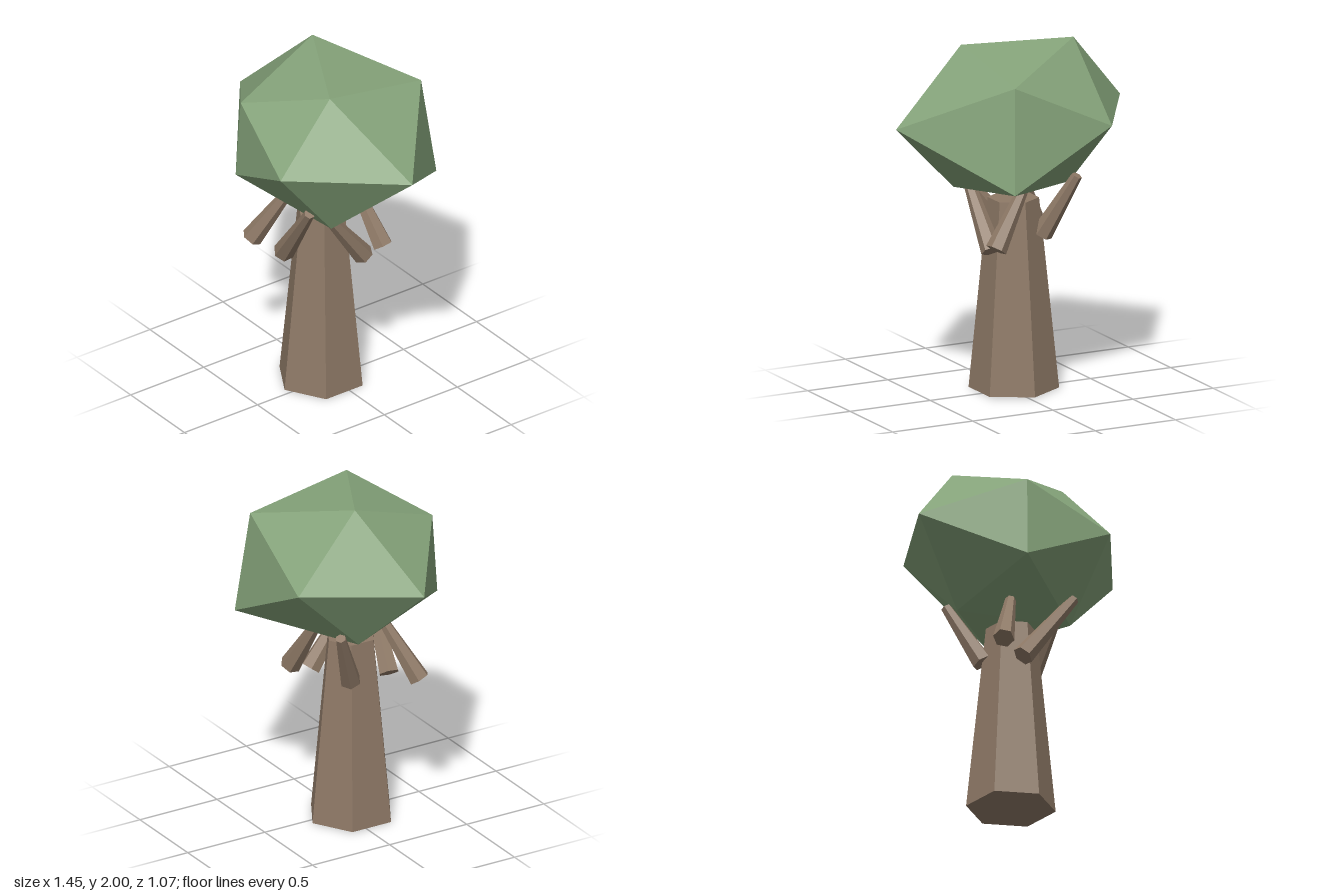
import * as THREE from 'three';

const bark = new THREE.MeshStandardMaterial({ color: 0x8f7a67, flatShading: true });
bark.name = 'bark brown';
const leaf = new THREE.MeshStandardMaterial({ color: 0x84a279, flatShading: true });
leaf.name = 'leaf green';

// Six-sided tapered limb from its thick end to its thin end
function limb(name, from, to, thick, thin) {
  const a = new THREE.Vector3(...from);
  const b = new THREE.Vector3(...to);
  const dir = b.clone().sub(a);
  const mesh = new THREE.Mesh(new THREE.CylinderGeometry(thin, thick, dir.length(), 6), bark);
  mesh.quaternion.setFromUnitVectors(new THREE.Vector3(0, 1, 0), dir.normalize());
  mesh.position.copy(a).add(b).multiplyScalar(0.5);
  mesh.name = name;
  return mesh;
}

// Irregular twenty-faced crown: icosahedron with shifted corners
function crown() {
  const corners = [
    [-0.33, 2, -0.12], [0.22, 1.955, 0.167], // top ridge
    [-0.32, 1.17, -0.09], [0.258, 1.145, 0.185], // bottom ridge
    [-0.26, 1.34, 0.458], [-0.245, 1.8, 0.435], // front
    [0.255, 1.26, -0.537], [0.215, 1.85, -0.462], // back
    [0.727, 1.578, -0.025], [0.263, 1.578, 0.535], // left
    [-0.365, 1.578, -0.508], [-0.728, 1.578, 0.083], // right
  ];
  const faces = [
    0, 11, 5, 0, 5, 1, 0, 1, 7, 0, 7, 10, 0, 10, 11,
    1, 5, 9, 5, 11, 4, 11, 10, 2, 10, 7, 6, 7, 1, 8,
    3, 9, 4, 3, 4, 2, 3, 2, 6, 3, 6, 8, 3, 8, 9,
    4, 9, 5, 2, 4, 11, 6, 2, 10, 8, 6, 7, 9, 8, 1,
  ];
  const indexed = new THREE.BufferGeometry();
  indexed.setAttribute('position', new THREE.Float32BufferAttribute(corners.flat(), 3));
  indexed.setIndex(faces);
  const geometry = indexed.toNonIndexed();
  geometry.computeVertexNormals();
  const mesh = new THREE.Mesh(geometry, leaf);
  mesh.name = 'crown';
  return mesh;
}

export function createModel() {
  const tree = new THREE.Group();
  tree.name = 'tree';
  tree.add(limb('trunk', [-0.04, 0, 0.035], [-0.037, 1.085, 0.035], 0.25, 0.142));

  // Branches: thick lower end, thin upper end
  const branches = [
    [[-0.31, 0.86, 0.31], [-0.15, 1.19, 0.17]],
    [[-0.115, 0.835, 0.235], [0.2, 1.25, 0.29]],
    [[0.2, 0.87, -0.21], [0, 1.19, -0.16]],
    [[0.17, 0.835, -0.1], [0.18, 1.18, 0.16]],
    [[-0.17, 0.88, -0.05], [-0.31, 1.23, -0.2]],
  ];
  branches.forEach(([from, to], i) => tree.add(limb(`branch${i + 1}`, from, to, 0.06, 0.03)));

  tree.add(crown());
  return tree;
}
